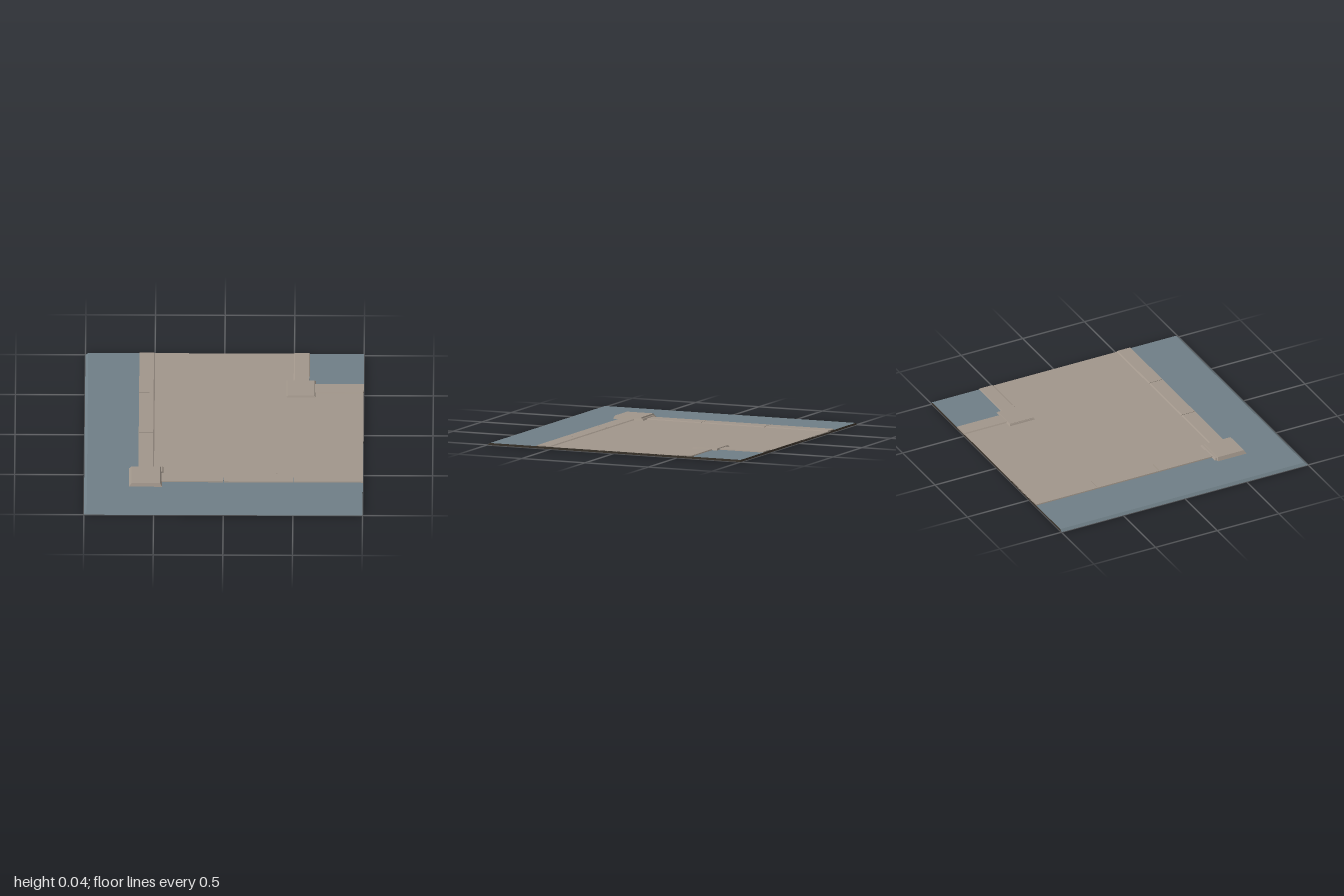
import * as THREE from 'three';

export function createModel() {
  const model = new THREE.Group();
  const mat = (name, color) => {
    const m = new THREE.MeshStandardMaterial({ color });
    m.name = name;
    return m;
  };
  const slate = mat('slate', 0x6f7e86);
  const stone = mat('stone', 0xa0958a);
  const dark = mat('underside', 0x3a332b);

  // Block with sloped sides: insets are [x0, x1, z0, z1] at the top
  function block(name, x0, x1, z0, z1, y0, y1, inset, material) {
    const geo = new THREE.BoxGeometry(1, 1, 1);
    const p = geo.attributes.position;
    for (let i = 0; i < p.count; i++) {
      const top = p.getY(i) > 0 ? 1 : 0;
      const x = p.getX(i) < 0 ? x0 + inset[0] * top : x1 - inset[1] * top;
      const z = p.getZ(i) < 0 ? z0 + inset[2] * top : z1 - inset[3] * top;
      p.setXYZ(i, x, top ? y1 : y0, z);
    }
    geo.computeVertexNormals();
    const mesh = new THREE.Mesh(geo, material);
    mesh.name = name;
    model.add(mesh);
  }

  // Ground slab, sloped along its left and front edges in the top view
  block('groundSlab', -1, 1, -1, 1, 0, 0.0155, [0.02, 0, 0, 0.022],
    [dark, slate, slate, dark, slate, dark]);

  // Paving: two plates leave the back corner open
  const flat = [0, 0, 0, 0];
  block('pavingMain', -0.55, 0.55, -1, 0.55, 0.01, 0.0165, flat, stone);
  block('pavingSide', 0.55, 1, -0.56, 0.55, 0.01, 0.0165, flat, stone);

  // Curb stones, separated by fine joints
  const gap = 0.002;
  function curb(name, alongX, stops, a, b, inset) {
    for (let i = 0; i < stops.length - 1; i++) {
      const s = stops[i] + (i > 0 ? gap : 0);
      const e = stops[i + 1] - (i < stops.length - 2 ? gap : 0);
      if (alongX) block(name, s, e, a, b, 0.01, 0.0225, [0, 0, ...inset], stone);
      else block(name, a, b, s, e, 0.01, 0.0225, [...inset, 0, 0], stone);
    }
  }
  curb('longSideCurb', false, [-1, -0.5, 0, 0.46], -0.615, -0.49, [0.006, 0.018]);
  curb('frontCurb', true, [-0.46, 0, 0.5, 1], 0.488, 0.614, [0.018, 0.006]);
  curb('backCurb', false, [-1, -0.62], 0.488, 0.614, [0.016, 0.006]);
  curb('innerCurb', true, [0.62, 1], -0.62, -0.494, [0.008, 0.016]);

  // Corner stones with stepped feet
  block('largeCornerFoot', -0.665, -0.425, 0.42, 0.5, 0.01, 0.029, [0.015, 0.015, 0.014, 0], stone);
  block('largeCornerStone', -0.682, -0.437, 0.435, 0.673, 0.01, 0.038, [0.022, 0.018, 0.014, 0.016], stone);
  block('smallCornerFoot', 0.44, 0.5, -0.665, -0.45, 0.01, 0.025, [0.012, 0, 0.012, 0.01], stone);
  block('smallCornerStone', 0.445, 0.66, -0.66, -0.448, 0.01, 0.028, [0.012, 0.014, 0.01, 0.014], stone);

  return model;
}
